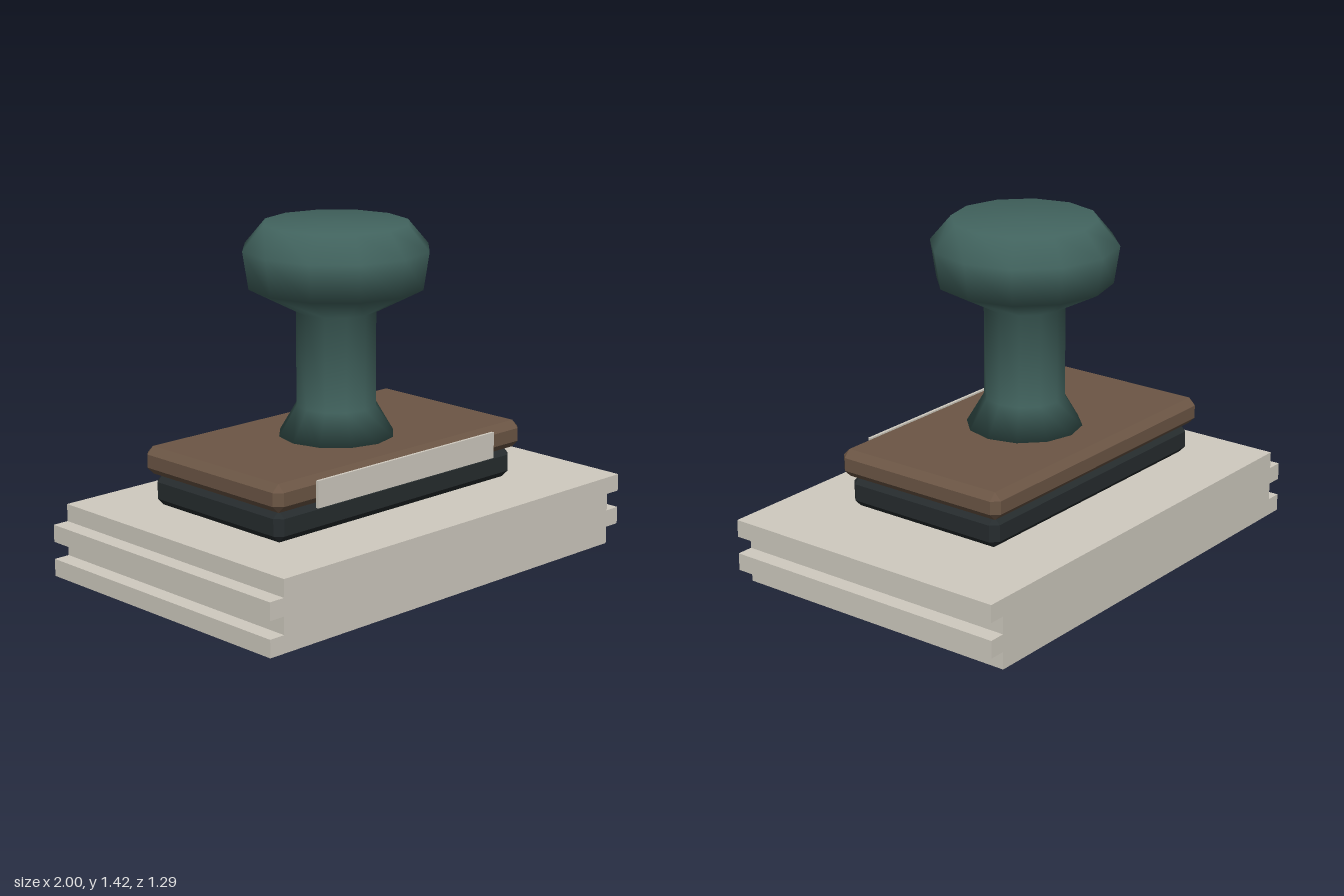
import * as THREE from 'three';
import { ConvexGeometry } from 'three/addons/geometries/ConvexGeometry.js';

const material = (color, flatShading = false) => new THREE.MeshStandardMaterial({ color, flatShading });

// Box with every edge chamfered by c
function chamferedBox(w, h, d, c) {
  const points = [];
  for (const sx of [-1, 1]) for (const sy of [-1, 1]) for (const sz of [-1, 1]) {
    const x = sx * w / 2, y = sy * h / 2, z = sz * d / 2;
    points.push(
      new THREE.Vector3(x, y - sy * c, z - sz * c),
      new THREE.Vector3(x - sx * c, y, z - sz * c),
      new THREE.Vector3(x - sx * c, y - sy * c, z)
    );
  }
  return new ConvexGeometry(points);
}

export function createModel() {
  const group = new THREE.Group();
  const paper = material(0xd0cbc0, true);
  const add = (name, geometry, mat, x, y, z, parent = group) => {
    const mesh = new THREE.Mesh(geometry, mat);
    mesh.name = name;
    mesh.position.set(x, y, z);
    parent.add(mesh);
  };

  // Stack of boards, shifted alternately left and right
  const stack = new THREE.Group();
  stack.name = 'paperStack';
  group.add(stack);
  const sheetHeight = 0.0725;
  for (let i = 0; i < 4; i++) {
    add(`sheet${i + 1}`, new THREE.BoxGeometry(1.93, sheetHeight, 1.29), paper,
      i % 2 ? 0.035 : -0.035, (i + 0.5) * sheetHeight, 0, stack);
  }

  // Stamp: rubber pad, wooden block and front label
  const stampX = -0.036;
  add('rubberPad', chamferedBox(1.335, 0.13, 0.745, 0.03), material(0x262c2e, true), stampX, 0.365, 0);
  add('woodBlock', chamferedBox(1.39, 0.115, 0.8, 0.03), material(0x6c5645, true), stampX, 0.4875, 0);
  add('label', new THREE.BoxGeometry(1.0, 0.11, 0.012), paper, stampX, 0.477, 0.41);

  // Turned twelve-sided handle with a wide knob
  const profile = [
    [0, 0.54], [0.243, 0.54], [0.167, 0.67], [0.167, 1.06],
    [0.361, 1.16], [0.385, 1.315], [0.298, 1.418], [0, 1.418]
  ].map(([r, y]) => new THREE.Vector2(r, y));
  add('handle', new THREE.LatheGeometry(profile, 12), material(0x42645f), stampX, 0, 0);

  return group;
}
